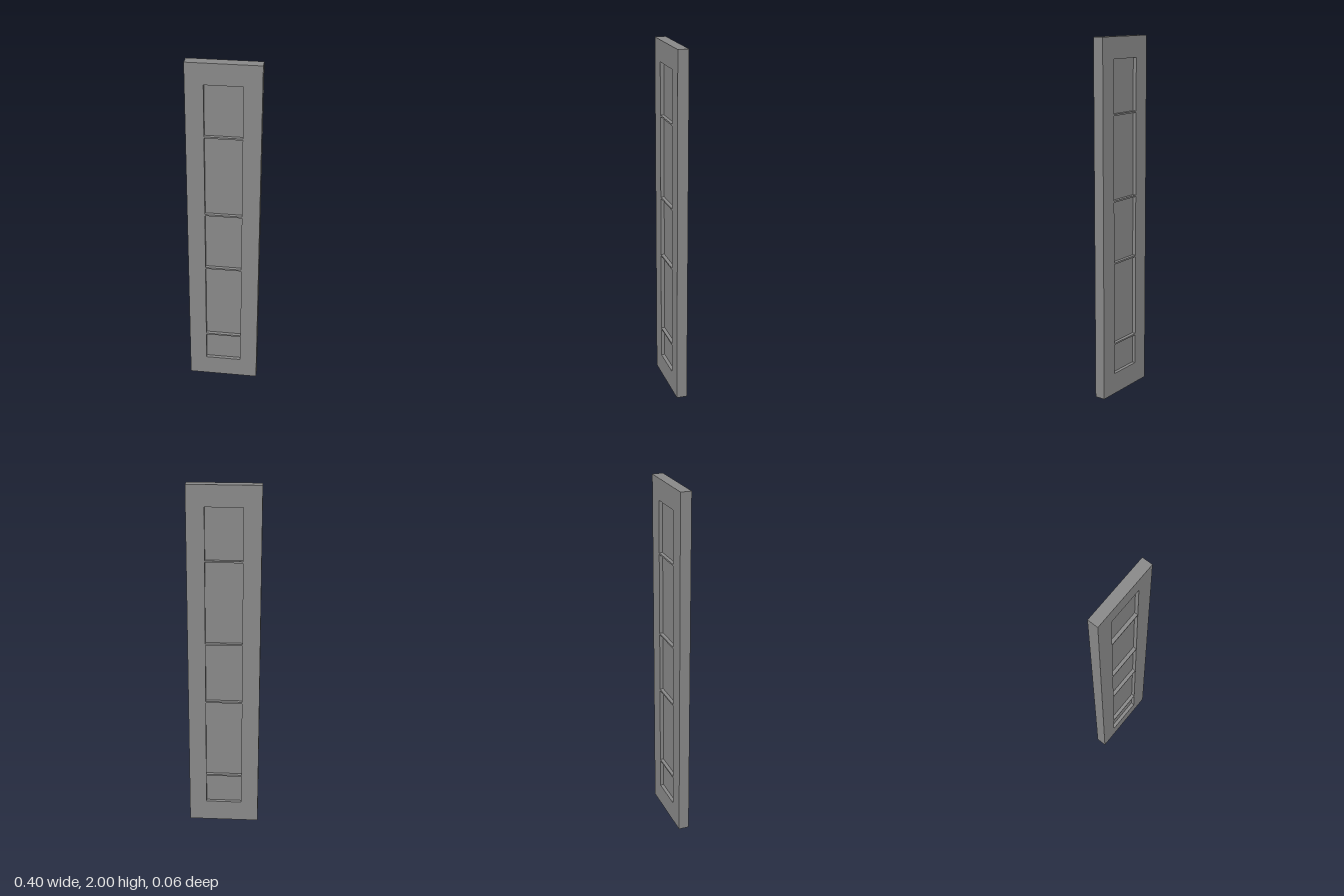
import * as THREE from 'three';

const WIDTH = 0.4, HEIGHT = 2, DEPTH = 0.06;
const OPENING_HALF = 0.102;
// Bottom and top of each recessed field
const FIELDS = [[0.121, 0.293], [0.302, 0.764], [0.773, 1.114], [1.123, 1.585], [1.594, 1.883]];

function rectangle(target, x0, y0, x1, y1) {
  target.moveTo(x0, y0);
  target.lineTo(x1, y0);
  target.lineTo(x1, y1);
  target.lineTo(x0, y1);
  target.closePath();
  return target;
}

export function createModel() {
  const group = new THREE.Group();
  group.name = 'panelledDoor';
  const material = new THREE.MeshStandardMaterial({ color: 0x888888 });

  // Frame: stiles, rails and thin dividing bars, flush on both faces
  const outline = rectangle(new THREE.Shape(), -WIDTH / 2, 0, WIDTH / 2, HEIGHT);
  for (const [bottom, top] of FIELDS) {
    outline.holes.push(rectangle(new THREE.Path(), -OPENING_HALF, bottom, OPENING_HALF, top));
  }
  const frameGeometry = new THREE.ExtrudeGeometry(outline, { depth: DEPTH, bevelEnabled: false });
  frameGeometry.translate(0, 0, -DEPTH / 2);
  const frame = new THREE.Mesh(frameGeometry, material);
  frame.name = 'frame';
  group.add(frame);

  // Thin panels set back from both faces
  FIELDS.forEach(([bottom, top], i) => {
    const panel = new THREE.Mesh(new THREE.BoxGeometry(OPENING_HALF * 2, top - bottom, 0.02), material);
    panel.position.y = (bottom + top) / 2;
    panel.name = `recessedPanel${i + 1}`;
    group.add(panel);
  });

  return group;
}
